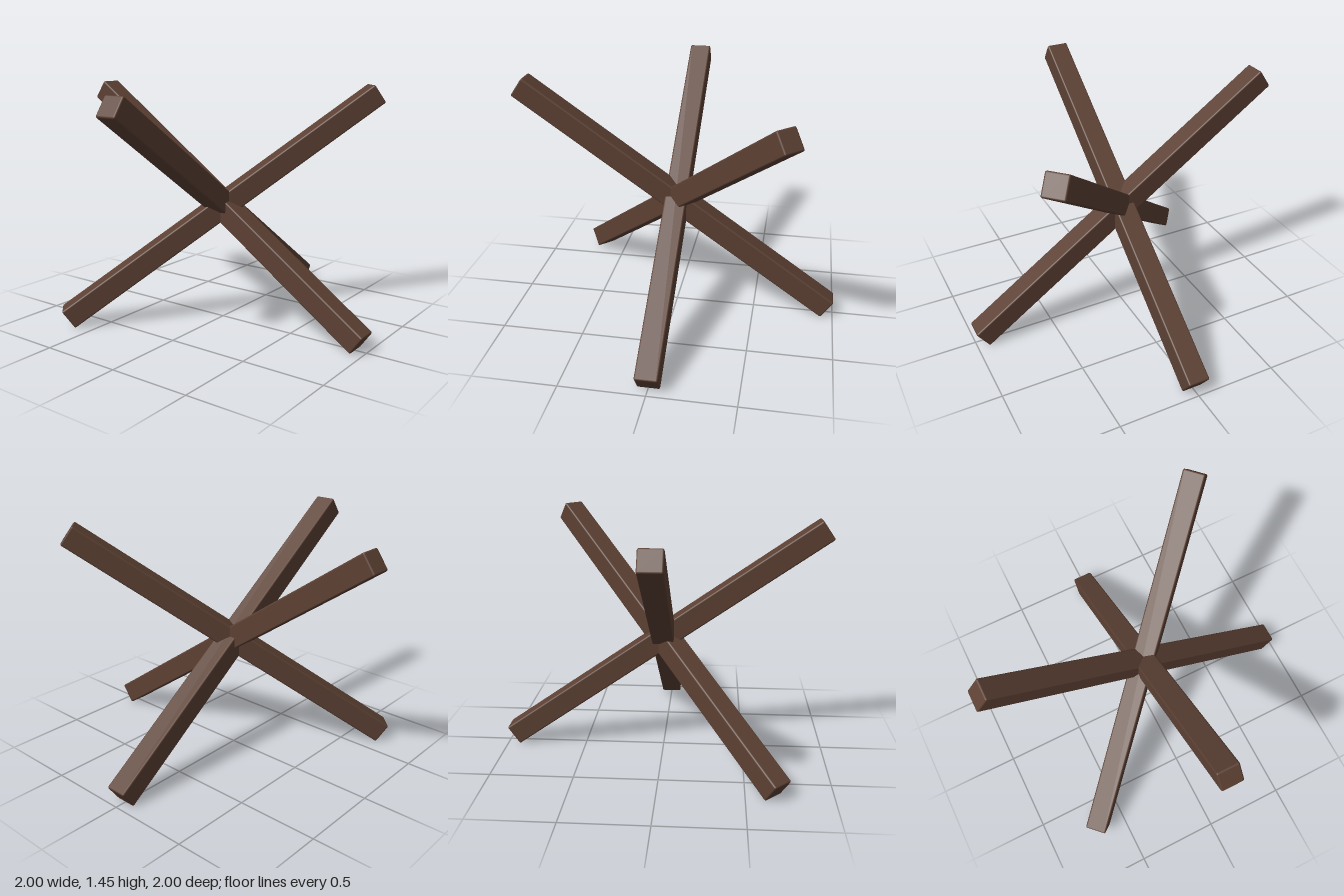
import * as THREE from 'three';
import { RoundedBoxGeometry } from 'three/addons/geometries/RoundedBoxGeometry.js';

const LENGTH = 2.354, WIDTH = 0.133, EDGE = 0.01;
const TILT = THREE.MathUtils.degToRad(35);
const CENTRE_Y = 0.728;

export function createModel() {
  const group = new THREE.Group();
  group.name = 'crossedBeams';

  const darkWood = new THREE.MeshStandardMaterial({ color: 0x5c4033 });
  darkWood.name = 'darkWood';

  // One square beam with softened edges, shared by all three
  const beam = new RoundedBoxGeometry(LENGTH, WIDTH, WIDTH, 2, EDGE);

  // Heading of each beam's raised end, turned about y from +x
  const headings = { sideBeam: Math.PI, frontBeam: -Math.PI / 2, diagonalBeam: Math.PI / 4 };

  for (const [name, heading] of Object.entries(headings)) {
    const mesh = new THREE.Mesh(beam, darkWood);
    mesh.name = name;
    mesh.rotation.set(0, heading, TILT, 'YXZ');
    mesh.position.y = CENTRE_Y;
    group.add(mesh);
  }
  return group;
}
